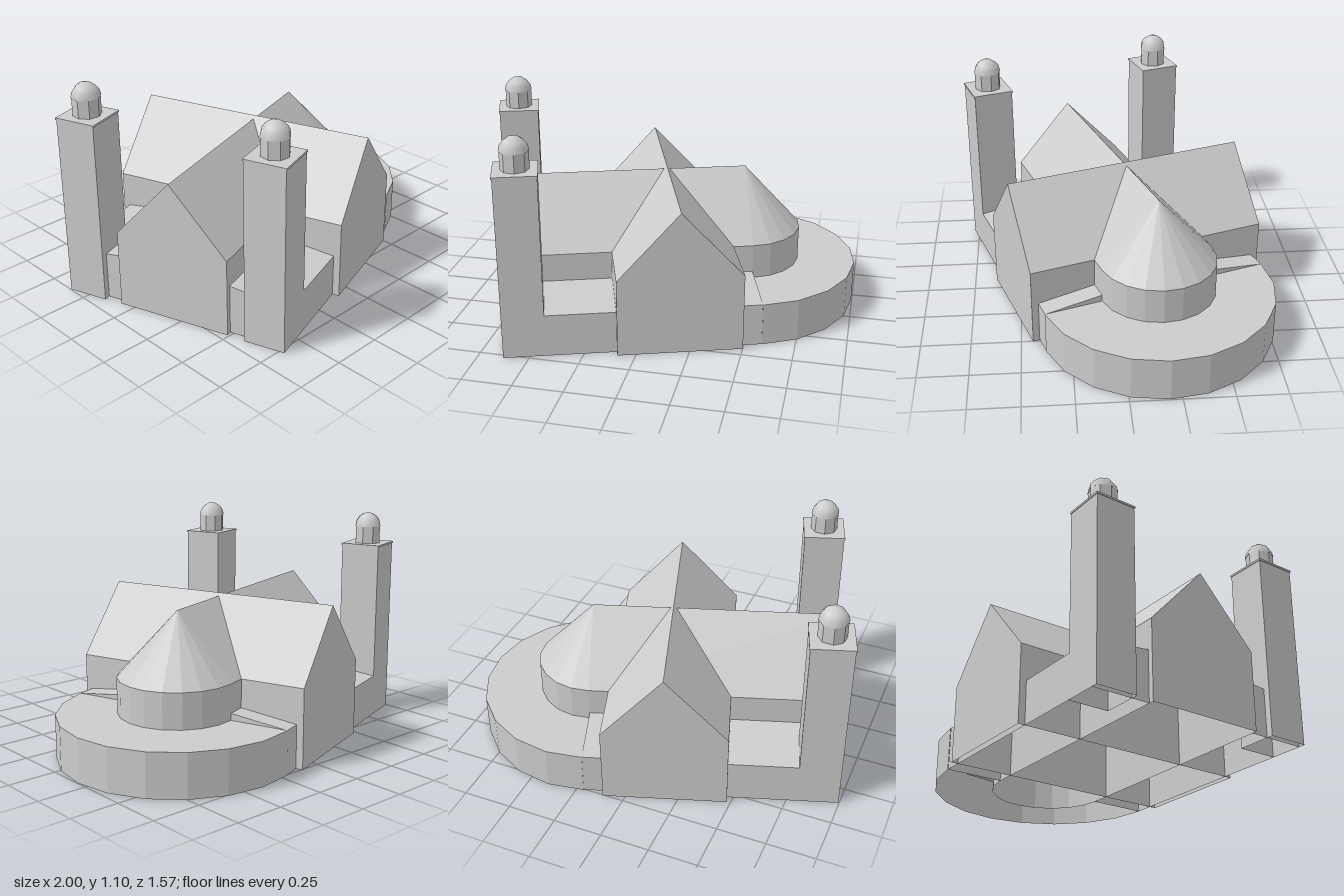
import * as THREE from 'three';

const stone = new THREE.MeshStandardMaterial({ color: 0xcccccc, side: THREE.DoubleSide });
stone.name = 'paleStone';

// Long shell open underneath: profile [z, y] runs from the +z foot to the -z foot
function hallGeometry(profile, x0, x1, capEnd = true) {
  const pos = [];
  const p = (x, i) => [x, profile[i][1], profile[i][0]];
  const n = profile.length;
  for (let i = 0; i < n - 1; i++) {
    pos.push(...p(x0, i), ...p(x1, i), ...p(x1, i + 1));
    pos.push(...p(x0, i), ...p(x1, i + 1), ...p(x0, i + 1));
  }
  for (let i = 1; i < n - 1; i++) {
    pos.push(...p(x0, 0), ...p(x0, i), ...p(x0, i + 1));
    if (capEnd) pos.push(...p(x1, 0), ...p(x1, i + 1), ...p(x1, i));
  }
  const g = new THREE.BufferGeometry();
  g.setAttribute('position', new THREE.Float32BufferAttribute(pos, 3));
  g.computeVertexNormals();
  return g;
}

// Gabled cross-section
const gable = (half, eave, ridge) =>
  [[half, 0], [half, eave], [0, ridge], [-half, eave], [-half, 0]];

function flat(g) {
  const f = g.toNonIndexed();
  f.computeVertexNormals();
  return f;
}

export function createModel() {
  const model = new THREE.Group();
  model.name = 'church';
  const body = new THREE.Group();
  body.name = 'churchBody';
  body.position.set(0.01, 0, -0.06);
  body.rotation.y = 0.319;
  model.add(body);

  const add = (name, geometry, x = 0, y = 0, z = 0, parent = body) => {
    const m = new THREE.Mesh(geometry, stone);
    m.name = name;
    m.position.set(x, y, z);
    parent.add(m);
    return m;
  };

  const west = -0.857, east = 0.411, naveHalf = 0.297;

  // Nave and choir, crossed by the transept
  add('nave', hallGeometry(gable(naveHalf, 0.4, 0.725), west, east, false));
  add('transept', hallGeometry(gable(0.31, 0.4, 0.74), -0.63, 0.63)).rotation.y = Math.PI / 2;

  // Rounded east end
  const r = naveHalf;
  add('apseWall', flat(new THREE.CylinderGeometry(r, r, 0.4, 10, 1, true, 0, Math.PI)), east, 0.2);
  add('apseRoof', flat(new THREE.ConeGeometry(r, 0.325, 10, 1, true, 0, Math.PI)), east, 0.5625);

  // Low passage around the apse
  add('ambulatoryWall', flat(new THREE.CylinderGeometry(0.597, 0.597, 0.22, 10, 1, true, 0, Math.PI)), east, 0.11);
  const ring = new THREE.RingGeometry(r, 0.597, 10, 1, -Math.PI / 2, Math.PI);
  ring.rotateX(-Math.PI / 2);
  add('ambulatoryRoof', ring, east, 0.22);

  // Dome profile, from rim to tip
  const dome = [[0.072, 0], [0.066, 0.028], [0.05, 0.05], [0.027, 0.066], [0, 0.073]]
    .map(([x, y]) => new THREE.Vector2(x, y));

  for (const side of [1, -1]) {
    const label = side > 0 ? 'south' : 'north';

    // Lean-to aisle
    const aisle = [[0.595, 0], [0.595, 0.22], [naveHalf, 0.255], [naveHalf, 0]];
    const profile = side > 0 ? aisle : aisle.map(([z, y]) => [-z, y]).reverse();
    add(label + 'Aisle', hallGeometry(profile, -0.83, east));

    // West tower with cap, lantern and dome
    const tower = new THREE.Group();
    tower.name = label + 'Tower';
    tower.position.set(-0.76, 0, 0.492 * side);
    body.add(tower);
    const h = 0.103;
    add('towerShaft', hallGeometry([[h, 0], [h, 0.932], [-h, 0.932], [-h, 0]], -h, h), 0, 0, 0, tower);
    add('towerCap', new THREE.BoxGeometry(0.213, 0.01, 0.213), 0, 0.935, 0, tower);
    add('lantern', flat(new THREE.CylinderGeometry(0.069, 0.069, 0.092, 8, 1, true)), 0, 0.986, 0, tower);
    add('dome', new THREE.LatheGeometry(dome, 8), 0, 1.03, 0, tower);
  }
  return model;
}
